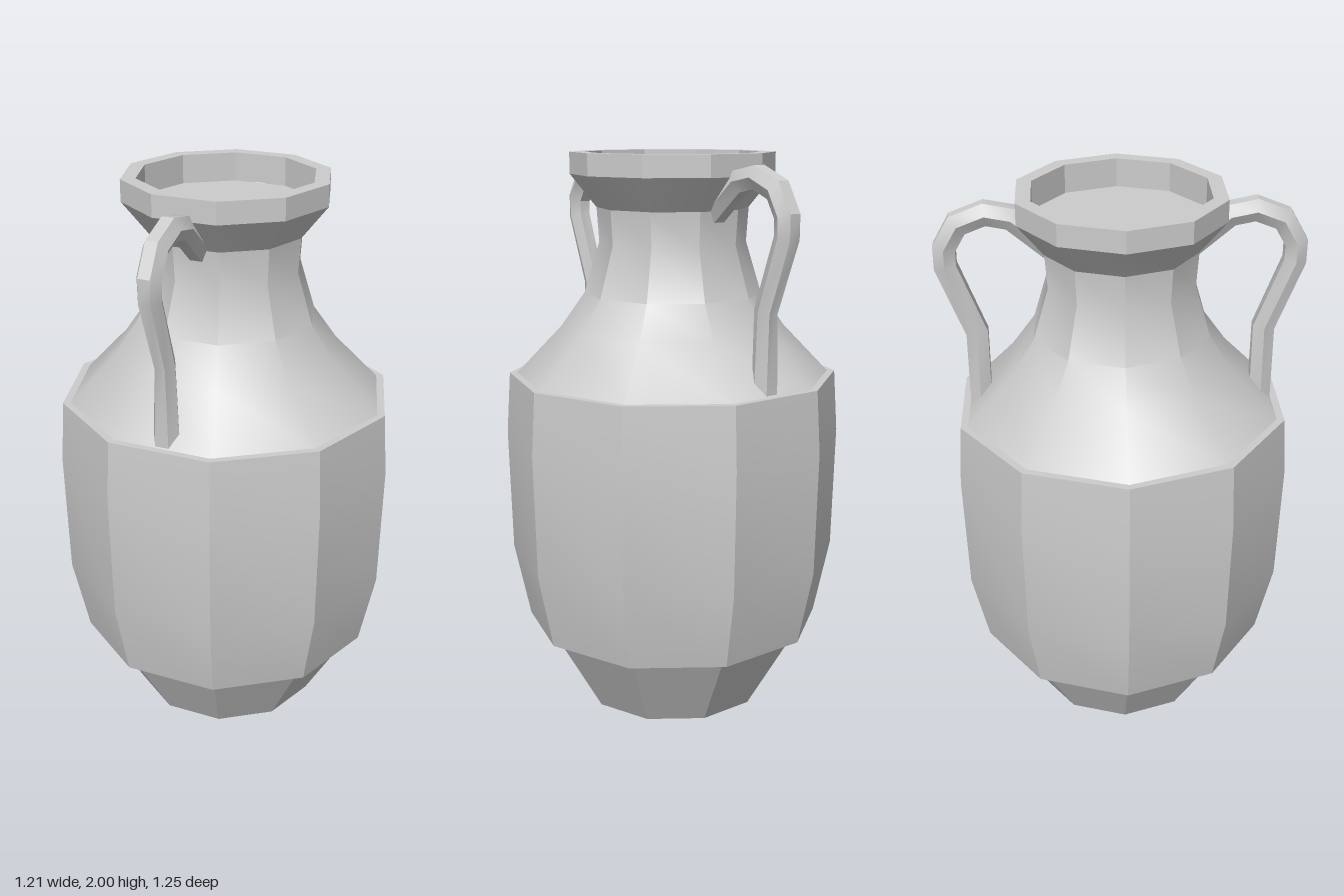
import * as THREE from 'three';
import { toCreasedNormals } from 'three/addons/utils/BufferGeometryUtils.js';

const SIDES = 10;
const CREASE = Math.PI / 6;
const material = new THREE.MeshStandardMaterial({ color: 0xcccccc });

function addMesh(parent, name, geometry) {
  const mesh = new THREE.Mesh(toCreasedNormals(geometry, CREASE), material);
  mesh.name = name;
  parent.add(mesh);
  return mesh;
}

// Ten-sided turned section with a corner on the x axis
function turned(profile) {
  const points = profile.map(([r, y]) => new THREE.Vector2(r, y));
  return new THREE.LatheGeometry(points, SIDES, Math.PI / 2);
}

// Hexagonal bar swept along [z, y, half width] points in the yz plane, with mitred bends
function handleGeometry(path, depth) {
  const pts = path.map(([z, y]) => new THREE.Vector2(z, y));
  const last = pts.length - 1;
  const direction = (i) => pts[i + 1].clone().sub(pts[i]).normalize();
  const positions = [];
  const index = [];
  pts.forEach((p, i) => {
    const before = direction(Math.max(i - 1, 0));
    const after = direction(Math.min(i, last - 1));
    const t = before.clone().add(after).normalize();
    const miter = depth / t.dot(after);
    for (let k = 0; k < 6; k++) {
      const a = (k * Math.PI) / 3;
      const s = Math.sin(a) * miter;
      positions.push(Math.cos(a) * path[i][2], p.y - t.x * s, p.x + t.y * s);
      if (i < last) {
        const q = i * 6 + k;
        const r = i * 6 + ((k + 1) % 6);
        index.push(q, q + 6, r, r, q + 6, r + 6);
      }
    }
  });
  // End caps
  const e = last * 6;
  for (let k = 1; k < 5; k++) {
    index.push(0, k, k + 1, e, e + k + 1, e + k);
  }
  const geometry = new THREE.BufferGeometry();
  geometry.setAttribute('position', new THREE.Float32BufferAttribute(positions, 3));
  geometry.setIndex(index);
  return geometry;
}

export function createModel() {
  const vase = new THREE.Group();
  vase.name = 'vase';

  // Tapered foot with a closed underside
  addMesh(vase, 'foot', turned([[0, 0], [0.335, 0], [0.505, 0.29]]));

  // Belly, with a small ledge at each end
  addMesh(vase, 'belly', turned([
    [0.5, 0.29], [0.538, 0.29], [0.595, 0.56], [0.605, 1.0], [0.59, 1.22], [0.555, 1.22],
  ]));

  // Shoulder sweeping up into the neck
  addMesh(vase, 'neck', turned([
    [0.563, 1.22], [0.4, 1.39], [0.315, 1.51], [0.26, 1.69], [0.268, 1.81],
  ]));

  // Flared lip with a shallow recess
  addMesh(vase, 'lip', turned([
    [0.268, 1.81], [0.36, 1.925], [0.36, 2.0], [0.308, 2.0], [0.308, 1.9], [0, 1.9],
  ]));

  // Looped handles, front and back
  const handle = handleGeometry([
    [0.495, 1.215, 0.048], [0.495, 1.5, 0.036], [0.587, 1.745, 0.041], [0.587, 1.812, 0.043],
    [0.54, 1.893, 0.043], [0.448, 1.929, 0.043], [0.362, 1.912, 0.043], [0.23, 1.8, 0.043],
  ], 0.043);
  addMesh(vase, 'frontHandle', handle);
  addMesh(vase, 'backHandle', handle).rotation.y = Math.PI;

  return vase;
}
